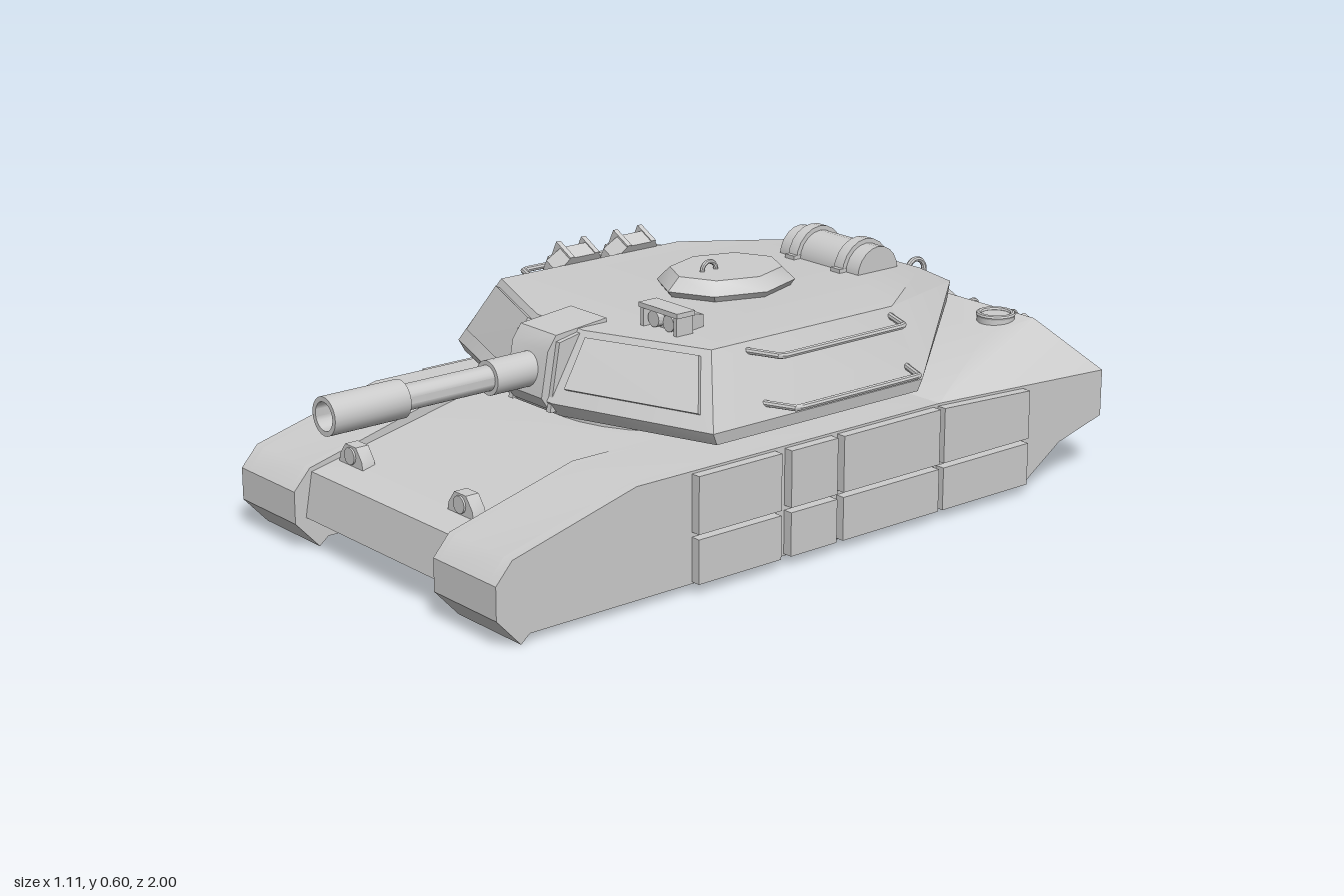
import * as THREE from 'three';
import { toCreasedNormals } from 'three/addons/utils/BufferGeometryUtils.js';
import { ConvexGeometry } from 'three/addons/geometries/ConvexGeometry.js';

const material = new THREE.MeshStandardMaterial({ color: 0xcccccc, side: THREE.DoubleSide });
const V = (x, y, z) => new THREE.Vector3(x, y, z);

function add(parent, name, geo, x = 0, y = 0, z = 0) {
  const mesh = new THREE.Mesh(toCreasedNormals(geo, 0.6), material);
  mesh.name = name;
  mesh.position.set(x, y, z);
  parent.add(mesh);
  return mesh;
}

const box = (w, h, d) => new THREE.BoxGeometry(w, h, d);
const tube = (pts, r = 0.008) => {
  const path = new THREE.CurvePath();
  for (let i = 1; i < pts.length; i++) path.add(new THREE.LineCurve3(pts[i - 1], pts[i]));
  return new THREE.TubeGeometry(path, 32, r, 8);
};
const cylX = (r, length, sides = 20) => new THREE.CylinderGeometry(r, r, length, sides).rotateZ(Math.PI / 2);

// side profile of [z, y] points, extruded from x0 to x1
function slab(points, x0, x1) {
  const shape = new THREE.Shape(points.map(p => new THREE.Vector2(...p)));
  return new THREE.ExtrudeGeometry(shape, { depth: x1 - x0, bevelEnabled: false })
    .rotateY(-Math.PI / 2).translate(x1, 0, 0);
}

// convex solid from points, mirrored across x
const mirroredHull = pts => new ConvexGeometry(pts.flatMap(([x, y, z]) => [V(x, y, z), V(-x, y, z)]));

// raised plate on a quad: inset along both directions
function plate(quad, u0, u1, v0, v1, thick) {
  const [a, b, c, d] = quad; // a-b bottom, d-c top
  const at = (u, v) => a.clone().lerp(b, u).lerp(d.clone().lerp(c, u), v);
  const n = b.clone().sub(a).cross(d.clone().sub(a)).normalize();
  if (n.z < 0) n.negate();
  const pts = [at(u0, v0), at(u1, v0), at(u1, v1), at(u0, v1)];
  return new ConvexGeometry(pts.flatMap(p => [
    p.clone().addScaledVector(n, -0.01), p.clone().addScaledVector(n, thick)]));
}

function buildHull(root) {
  const hull = new THREE.Group();
  hull.name = 'hull';
  root.add(hull);
  add(hull, 'hullBody', slab([[0.86, 0.19], [0.88, 0.08], [-0.8, 0.08], [-1, 0.14], [-1, 0.26],
    [-0.42, 0.29], [0.41, 0.29]], -0.28, 0.28));

  // fenders: outer skirt, inner rib and a hollow channel between them
  const upper = [[-0.85, 0.1], [-1, 0.14], [-1, 0.26], [-0.42, 0.29], [0.52, 0.29], [0.865, 0.2],
    [0.91, 0.15], [0.91, 0.07], [0.845, 0], [0.82, 0.02]];
  const wall = [...upper, [-0.73, 0.02]];
  const channel = [...upper, [0.78, 0.02], [0.78, 0.1]];
  for (const s of [-1, 1]) {
    const strip = (name, pts, a, b) => add(hull, name, slab(pts, Math.min(s * a, s * b), Math.max(s * a, s * b)));
    strip('fenderInnerWall', wall, 0.28, 0.3);
    strip('fenderChannel', channel, 0.3, 0.48);
    strip('fenderOuterWall', wall, 0.48, 0.51);

    // side skirt panels
    for (const [z0, z1] of [[0.11, 0.36], [-0.065, 0.08], [-0.4, -0.085], [-0.71, -0.415]]) {
      const drop = z0 < -0.5 ? 0.015 : 0;
      const [a, b] = s > 0 ? [0.5, 0.535] : [-0.535, -0.5];
      add(hull, 'lowerSkirtPanel', slab([[z0, 0.025], [z1, 0.025], [z1, 0.133], [z0, 0.133]], a, b));
      add(hull, 'upperSkirtPanel', slab([[z0, 0.145], [z1, 0.145], [z1, 0.284], [z0, 0.284 - drop]], a, b));
    }

    // headlight with trapezoid housing
    const housing = new THREE.Shape([[-0.05, 0], [0.05, 0], [0.045, 0.025], [0.022, 0.055], [-0.022, 0.055], [-0.045, 0.025]]
      .map(p => new THREE.Vector2(...p)));
    add(hull, 'headlightHousing', new THREE.ExtrudeGeometry(housing, { depth: 0.035, bevelEnabled: false }), s * 0.218, 0.2, 0.755);
    add(hull, 'headlightLens', new THREE.CylinderGeometry(0.021, 0.021, 0.02, 16).rotateX(Math.PI / 2), s * 0.218, 0.23, 0.785);
  }

  // raised engine deck
  add(hull, 'engineDeck', mirroredHull([[0.51, 0.29, -0.42], [0.51, 0.26, -1], [0.51, 0.2, -1],
    [0.38, 0.39, -0.88], [0.37, 0.375, -0.72]]));
  add(hull, 'fuelCap', new THREE.CylinderGeometry(0.048, 0.048, 0.025, 20), 0.31, 0.385, -0.815);
  add(hull, 'fuelCapRim', new THREE.TorusGeometry(0.043, 0.007, 8, 20).rotateX(Math.PI / 2), 0.31, 0.398, -0.815);

  // tools on the sloped rear plate
  const tools = new THREE.Group();
  tools.name = 'rearTools';
  tools.position.set(0, 0.325, -0.94);
  tools.rotation.x = -0.82;
  hull.add(tools);
  add(tools, 'shovelHandle', cylX(0.01, 0.27, 10), 0.17, 0.022, 0.02);
  add(tools, 'shovelTip', new THREE.ConeGeometry(0.016, 0.05, 10).rotateZ(-Math.PI / 2), 0.31, 0.022, 0.02);
  const blade = new THREE.Shape([[0.06, -0.015], [0.045, -0.05], [-0.02, -0.045], [-0.065, 0], [-0.02, 0.045], [0.045, 0.05], [0.06, 0.015]]
    .map(p => new THREE.Vector2(...p)));
  add(tools, 'shovelBlade', new THREE.ExtrudeGeometry(blade, { depth: 0.012, bevelEnabled: false }).rotateX(-Math.PI / 2), 0, 0.012, 0.02);
  for (const x of [0.11, 0.25])
    add(tools, 'shovelClamp', new THREE.TorusGeometry(0.019, 0.006, 8, 16).rotateY(Math.PI / 2), x, 0.015, 0.02);
  for (const x of [-0.305, -0.257, -0.21]) {
    add(tools, 'canister', new THREE.CylinderGeometry(0.016, 0.016, 0.13, 12).rotateX(Math.PI / 2), x, 0.018, 0.01);
    for (const [z, h] of [[0.07, 0.035], [-0.02, 0.015]])
      add(tools, 'canisterBand', new THREE.CylinderGeometry(0.022, 0.022, h, 12).rotateX(Math.PI / 2), x, 0.018, z);
  }
}

function buildTurret(root) {
  const turret = new THREE.Group();
  turret.name = 'turret';
  root.add(turret);
  add(turret, 'turretRing', new THREE.CylinderGeometry(0.34, 0.34, 0.06, 32), 0, 0.305, 0);
  add(turret, 'turretBody', mirroredHull([
    [0.09, 0.325, 0.405], [0.485, 0.325, 0.265], [0.485, 0.325, -0.37], [0.2, 0.42, -0.75],
    [0.09, 0.36, 0.43], [0.49, 0.355, 0.28], [0.49, 0.355, -0.38], [0.2, 0.47, -0.76],
    [0.09, 0.52, 0.335], [0.4, 0.52, 0.21], [0.4, 0.52, -0.36], [0.19, 0.52, -0.66]]));

  for (const s of [-1, 1]) {
    // cheek armour
    const quad = [V(s * 0.09, 0.36, 0.43), V(s * 0.49, 0.355, 0.28), V(s * 0.4, 0.52, 0.21), V(s * 0.09, 0.52, 0.335)];
    add(turret, 'cheekPlate', plate(quad, 0.05, 0.92, 0.2, 0.9, 0.012));
    // side rails
    for (const [y, inner, outer] of [[0.5, 0.4, 0.49], [0.388, 0.46, 0.543]])
      add(turret, 'sideRail', tube([V(s * inner, y, 0.11), V(s * outer, y, 0.075), V(s * outer, y, -0.315), V(s * inner, y, -0.35)]));
    // rear lifting loops
    add(turret, 'rearLoop', new THREE.TorusGeometry(0.03, 0.007, 8, 20).rotateY(Math.PI / 2), s * 0.11, 0.485, -0.725);
  }

  // mantlet and gun
  add(turret, 'mantlet', slab([[0.25, 0.34], [0.425, 0.34], [0.445, 0.37], [0.425, 0.48], [0.4, 0.515], [0.25, 0.53]], -0.068, 0.068));
  for (const s of [-1, 1])
    add(turret, 'mantletCheek', slab([[0.25, 0.33], [0.43, 0.335], [0.4, 0.5], [0.3, 0.52], [0.25, 0.52]], s * 0.073 - 0.008, s * 0.073 + 0.008));
  const gun = [[0, 0.4], [0.042, 0.4], [0.042, 0.55], [0.031, 0.55], [0.031, 0.795], [0.046, 0.795], [0.046, 1], [0.034, 1], [0.034, 0.93], [0, 0.93]];
  add(turret, 'gunBarrel', new THREE.LatheGeometry(gun.map(p => new THREE.Vector2(...p)), 24).rotateX(Math.PI / 2), 0, 0.425, 0);

  // octagonal hatch
  const hatch = [[0.165, 0.51], [0.185, 0.535], [0.15, 0.567], [0, 0.567]];
  add(turret, 'hatch', new THREE.LatheGeometry(hatch.map(p => new THREE.Vector2(...p)), 8).scale(0.83, 1, 1), 0, 0, -0.18);
  add(turret, 'hatchHandle', new THREE.TorusGeometry(0.022, 0.006, 8, 16).rotateY(Math.PI / 2), 0, 0.567, -0.125);

  // hooded sight
  const sight = new THREE.Group();
  sight.name = 'sight';
  sight.position.set(0.205, 0.52, 0.18);
  turret.add(sight);
  add(sight, 'sightBody', mirroredHull([[0.055, 0, 0], [0.055, 0.05, 0], [0.038, 0, -0.08], [0.038, 0.03, -0.08]]));
  add(sight, 'sightRoof', box(0.14, 0.012, 0.055), 0, 0.05, 0);
  for (const s of [-1, 1]) {
    add(sight, 'sightSide', box(0.012, 0.05, 0.05), s * 0.06, 0.025, 0);
    add(sight, 'sightLens', new THREE.CylinderGeometry(0.02, 0.02, 0.02, 16).rotateX(Math.PI / 2), s * 0.027, 0.022, 0.008);
  }

  // bedroll with straps
  add(turret, 'bedroll', cylX(0.068, 0.29), 0, 0.515, -0.557);
  for (const x of [-0.085, 0.085]) {
    add(turret, 'bedrollStrap', cylX(0.08, 0.032), x, 0.515, -0.557);
    add(turret, 'bedrollBuckle', box(0.034, 0.02, 0.18), x, 0.52, -0.557);
  }

  // stowed packs leaning on the right side
  for (const z of [-0.23, -0.045]) {
    const pack = new THREE.Group();
    pack.name = 'pack';
    pack.position.set(-0.466, 0.443, z);
    pack.rotation.z = -0.48;
    turret.add(pack);
    add(pack, 'packBody', new ConvexGeometry([-1, 1].flatMap(s => [V(-0.025, -0.12, s * 0.075), V(0.025, -0.12, s * 0.075),
      V(-0.025, 0.08, s * 0.075), V(0.025, 0.08, s * 0.075), V(-0.02, 0.12, s * 0.045), V(0.025, 0.12, s * 0.045)])));
    add(pack, 'packPocket', box(0.025, 0.09, 0.12), -0.03, -0.06, 0);
    add(pack, 'packFlap', box(0.012, 0.07, 0.13), -0.028, 0.05, 0);
    for (const dz of [-0.04, 0.04]) add(pack, 'packStrap', box(0.066, 0.245, 0.014), -0.008, 0, dz);
  }
}

export function createModel() {
  const root = new THREE.Group();
  root.name = 'tank';
  buildHull(root);
  buildTurret(root);
  return root;
}
